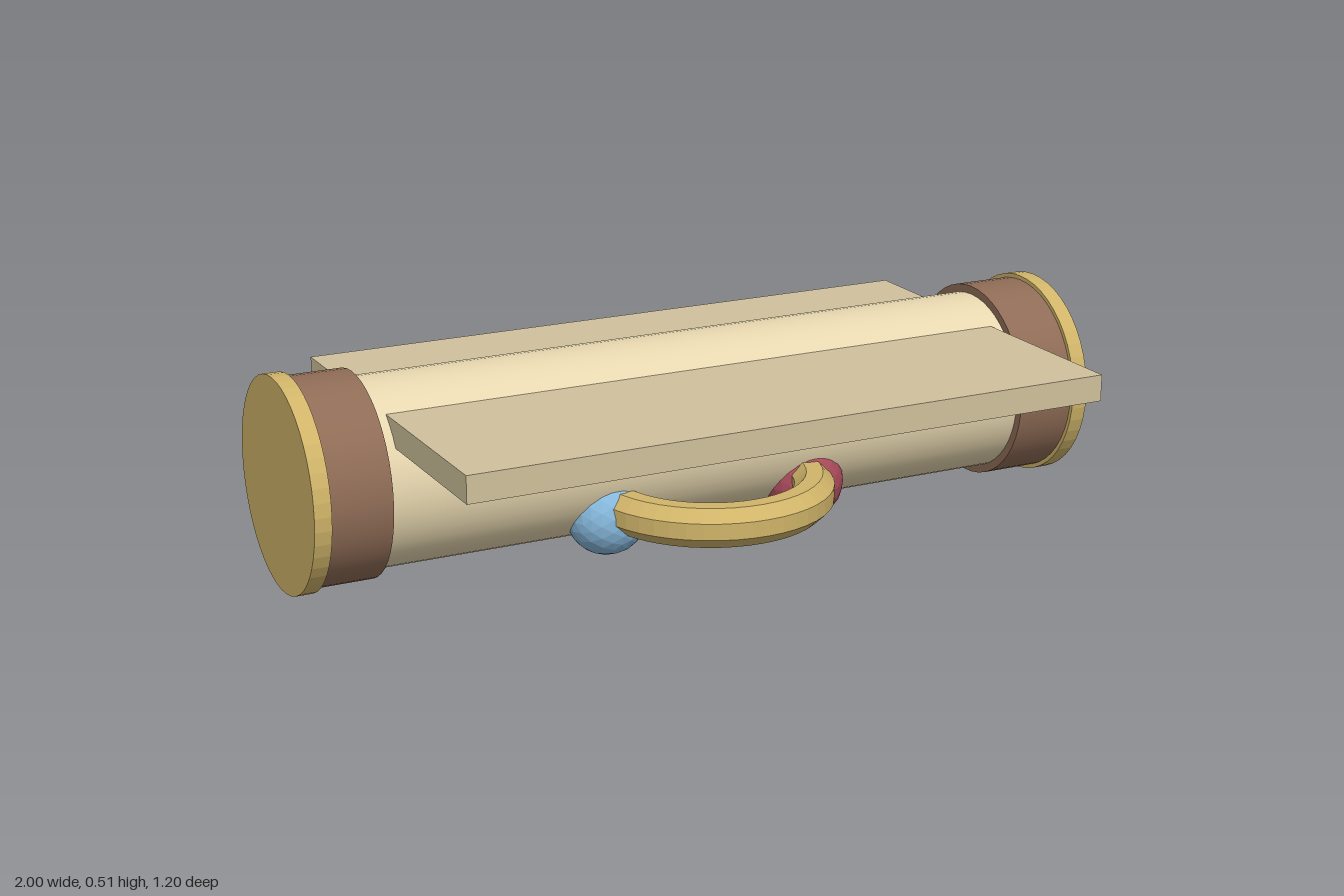
import * as THREE from 'three';

const mat = (name, color, flatShading = false) => {
  const m = new THREE.MeshStandardMaterial({ color, flatShading });
  m.name = name;
  return m;
};

export function createModel() {
  const group = new THREE.Group();
  const parchment = mat('parchment', 0xe8d8b0);
  const sheetTan = mat('sheet tan', 0xd0c19d);
  const brown = mat('brown wood', 0x8f6c56);
  const gold = mat('gold', 0xd0b469, true);
  const purple = mat('purple', 0xb07fdc, true);
  const red = mat('red', 0xa84a5a, true);
  const blue = mat('blue', 0x86b8dc, true);

  const add = (name, geometry, material, x, y, z) => {
    const mesh = new THREE.Mesh(geometry, material);
    mesh.name = name;
    mesh.position.set(x, y, z);
    group.add(mesh);
    return mesh;
  };
  // Cylinder lying along x
  const roller = (name, radius, length, material, x) =>
    add(name, new THREE.CylinderGeometry(radius, radius, length, 48).rotateZ(Math.PI / 2), material, x, 0.26, 0.004);

  // Rolled body and the flat sheet passing through it
  roller('rolledBody', 0.22, 1.66, parchment, 0);
  add('sheet', new THREE.BoxGeometry(1.576, 0.063, 0.96), sheetTan, 0, 0.402, 0.12);

  // End bands and caps
  for (const [side, s] of [['left', 1], ['right', -1]]) {
    roller(side + 'Band', 0.24, 0.145, brown, s * 0.8875);
    roller(side + 'Cap', 0.25, 0.04, gold, s * 0.98);
  }

  // Half-ring handle with an octagonal section
  const section = [];
  for (let i = 0; i <= 8; i++) {
    const a = ((i - 0.5) / 8) * Math.PI * 2;
    section.push(new THREE.Vector2(0.247 + 0.051 * Math.cos(a), 0.051 * Math.sin(a)));
  }
  add('handle', new THREE.LatheGeometry(section, 24, -Math.PI / 2, Math.PI), gold, 0, 0.142, 0.16);

  // Beads at the handle ends
  const bead = (r) => new THREE.IcosahedronGeometry(r, 3);
  add('leftBead', bead(0.097), red, 0.257, 0.122, 0.15);
  add('rightBead', bead(0.097), blue, -0.262, 0.122, 0.15);

  // Rear pin with its knob
  add('pin', new THREE.CylinderGeometry(0.03, 0.03, 0.34, 12).rotateX(Math.PI / 2), gold, 0.605, 0.12, -0.27);
  add('knob', bead(0.116), purple, 0.605, 0.118, -0.487);

  return group;
}
